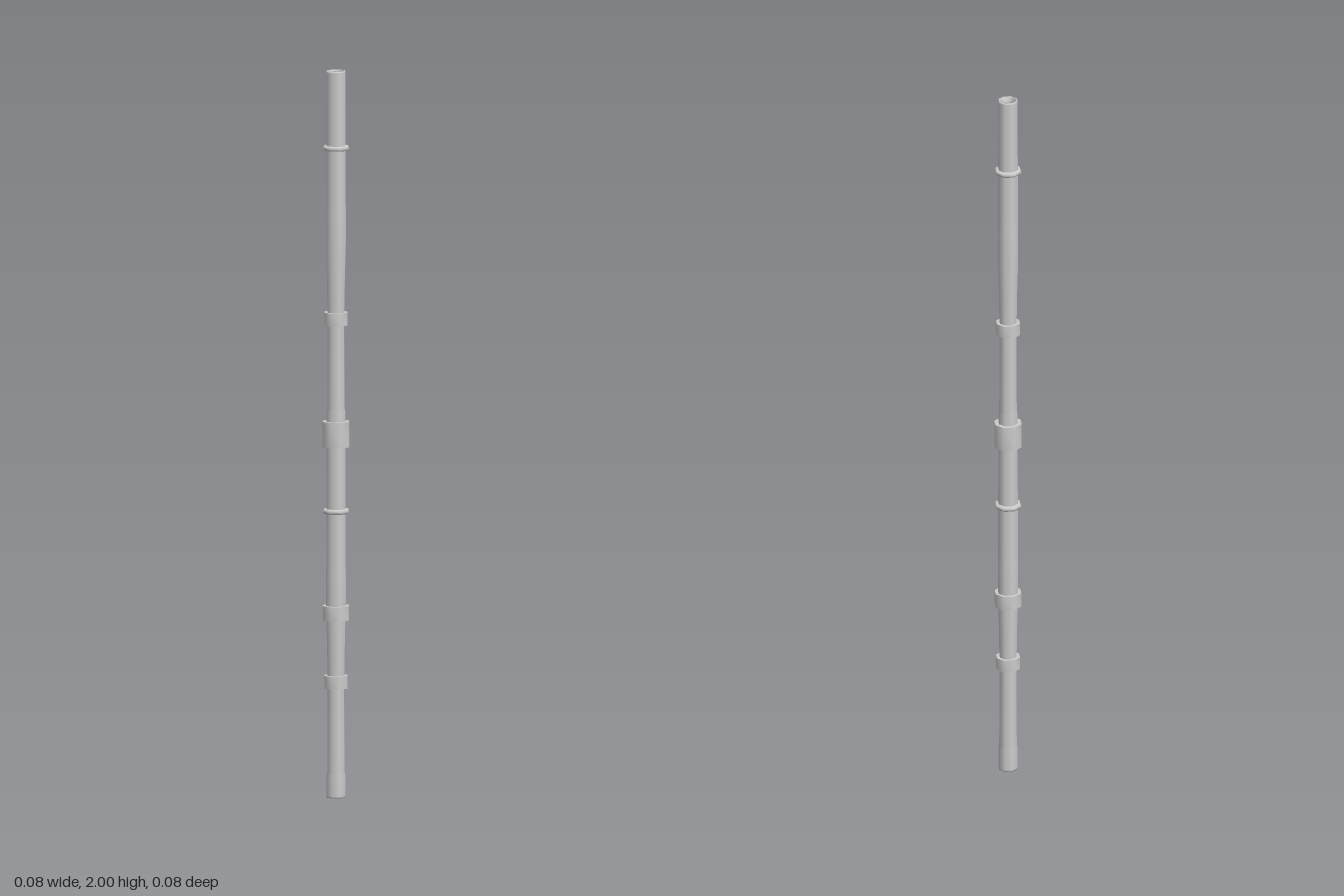
import * as THREE from 'three';
import { toCreasedNormals } from 'three/addons/utils/BufferGeometryUtils.js';

const SIDES = 8;
const material = new THREE.MeshStandardMaterial({ color: 0xcccccc });

// Eight-sided turned part from [radius, height] pairs
function turned(name, points, crease) {
  const profile = points.map(([r, y]) => new THREE.Vector2(r, y));
  let geometry = new THREE.LatheGeometry(profile, SIDES);
  if (crease) geometry = toCreasedNormals(geometry, 0.9);
  const mesh = new THREE.Mesh(geometry, material);
  mesh.name = name;
  return mesh;
}

// Sharp-edged band around the tube
function band(name, y, radius, height) {
  const h = height / 2, inner = 0.021;
  const mesh = turned(name, [[inner, -h], [radius, -h], [radius, h], [inner, h]], true);
  mesh.position.y = y;
  return mesh;
}

// Thin ring with a pointed rim
function ring(name, y, radius) {
  const mesh = turned(name, [
    [0.022, -0.007], [radius - 0.003, -0.006], [radius, 0], [radius - 0.003, 0.006], [0.022, 0.007],
  ]);
  mesh.position.y = y;
  return mesh;
}

// Hollow half: outside going up, over the rim, bore going down
function staffHalf(name) {
  const half = new THREE.Group();
  half.name = name;
  half.add(
    turned('tube', [
      [0.0195, 0], [0.027, 0], [0.0275, 0.004], [0.0275, 0.065], [0.025, 0.07],
      [0.024, 0.3], [0.0245, 0.335], [0.026, 0.42], [0.029, 0.53], [0.029, 0.62],
      [0.028, 0.64], [0.0275, 0.996], [0.027, 1], [0.0195, 1],
      [0.015, 0.97], [0.015, 0.03], [0.0195, 0],
    ]),
    band('lowerBand', 0.318, 0.034, 0.035),
    ring('upperRing', 0.788, 0.038),
  );
  return half;
}

export function createModel() {
  const model = new THREE.Group();
  model.name = 'staff';
  const lower = staffHalf('lowerHalf');
  const upper = staffHalf('upperHalf');
  upper.position.y = 1;
  model.add(
    lower,
    upper,
    band('joiningCollar', 1, 0.039, 0.07),
    band('gripBand', 0.508, 0.038, 0.04),
  );
  return model;
}
